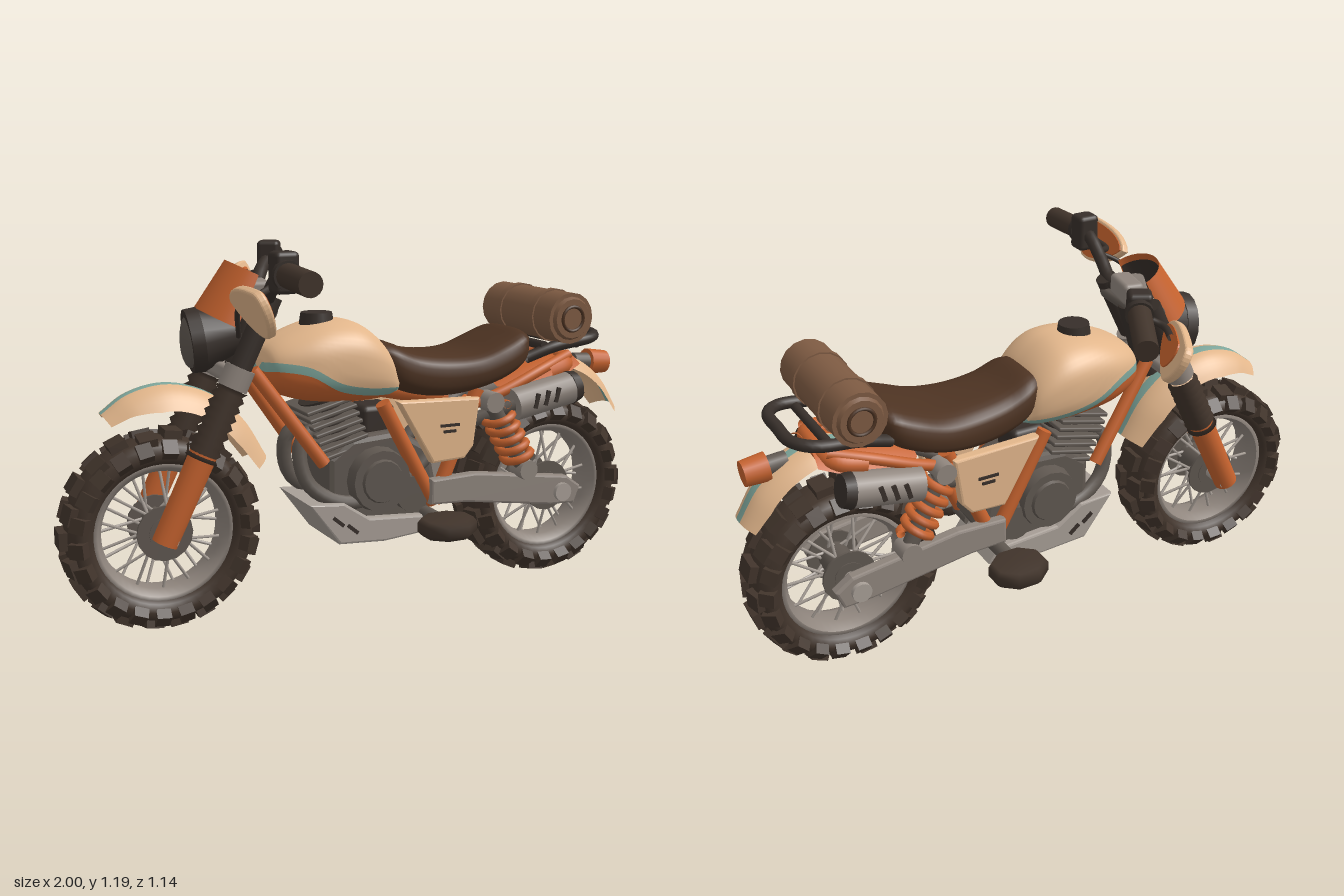
import * as THREE from 'three';
import { mergeGeometries, mergeVertices } from 'three/addons/utils/BufferGeometryUtils.js';
import { RoundedBoxGeometry } from 'three/addons/geometries/RoundedBoxGeometry.js';

const paint = (name, color, side = THREE.FrontSide) => Object.assign(new THREE.MeshStandardMaterial({ color, side }), { name });
const cream = paint('cream', 0xe2b68b, THREE.DoubleSide), orange = paint('orange', 0xc5622e, THREE.DoubleSide);
const teal = paint('teal', 0x7fa79c, THREE.DoubleSide), rubber = paint('rubber', 0x41342b), black = paint('black', 0x372f2a, THREE.DoubleSide);
const brown = paint('seat brown', 0x4d3322), canvas = paint('canvas', 0x7d5a42);
const steel = paint('steel', 0x8f857d), iron = paint('iron', 0x5f5750), bright = paint('bright steel', 0xa79e96);

const V = (p) => new THREE.Vector3(...p), V2 = (p) => new THREE.Vector2(...p), SIDES = [1, -1];
const curve = (pts) => new THREE.CatmullRomCurve3(pts.map(V));
const list = (n, f) => Array.from({ length: n }, (_, i) => f(i));
function place(obj, parent, name, pos = [0, 0, 0], rot = [0, 0, 0, 'XYZ']) {
  obj.name = name;
  obj.position.set(...pos);
  obj.rotation.set(...rot);
  parent.add(obj);
  return obj;
}
const group = (parent, name, pos, rot) => place(new THREE.Group(), parent, name, pos, rot);
const add = (parent, name, geo, mat, pos, rot) => place(new THREE.Mesh(geo, mat), parent, name, pos, rot);
// Moves a geometry that starts at y = 0 so that it runs from a towards b
const aim = (geo, a, b) => geo.applyQuaternion(new THREE.Quaternion().setFromUnitVectors(V([0, 1, 0]), V(b).sub(V(a)).normalize())).translate(...a);
function rodGeo(a, b, r, r2 = r, n = 16) {
  const L = V(a).distanceTo(V(b));
  return aim(new THREE.CylinderGeometry(r2, r, L, n).translate(0, L / 2, 0), a, b);
}
const rod = (parent, name, a, b, r, mat, r2) => add(parent, name, rodGeo(a, b, r, r2), mat);
// Cylinder across z
const drum = (parent, name, x, y, z0, z1, r, mat, r2) => rod(parent, name, [x, y, z0], [x, y, z1], r, mat, r2);
const pipe = (parent, name, pts, r, mat) => add(parent, name, new THREE.TubeGeometry(curve(pts), 40, r, 10), mat);
const block = (parent, name, size, r, mat, pos, rot) => add(parent, name, new RoundedBoxGeometry(...size, 2, r), mat, pos, rot);
const box = (parent, name, size, mat, pos, rot) => add(parent, name, new THREE.BoxGeometry(...size), mat, pos, rot);
const lathe = (pts, n) => new THREE.LatheGeometry(pts.map(V2), n);
// Side outline extruded across z
function plate(parent, name, pts, width, z, mat, b = 0.008) {
  const g = new THREE.ExtrudeGeometry(new THREE.Shape(pts.map(V2)), { depth: width - 2 * b, bevelSize: b, bevelThickness: b, bevelSegments: 2 });
  add(parent, name, g.translate(0, 0, z - width / 2 + b), mat);
}
function grid(rows, flip) {
  const idx = [], n = rows[0].length, g = new THREE.BufferGeometry();
  for (let i = 0; i < rows.length - 1; i++) for (let j = 0; j < n - 1; j++) {
    const a = i * n + j, b = a + 1, c = a + n, d = c + 1;
    idx.push(...(flip ? [a, b, c, b, d, c] : [a, c, b, b, c, d]));
  }
  g.setAttribute('position', new THREE.Float32BufferAttribute(rows.flat(2), 3)).setIndex(idx);
  g.computeVertexNormals();
  return g;
}
// Rounded body along x, between two heights. Keys: [x, bottom, top, half width, stripe height]
function body(parent, name, keys, mat, from = () => -9, to = () => 9, p = 2.6) {
  const yz = curve(keys.map((k) => k.slice(0, 3))), ws = curve(keys.map((k) => [k[0], k[3], k[4] ?? 0]));
  const secs = list(33, (i) => {
    const a = yz.getPoint(i / 32), b = ws.getPoint(i / 32);
    return { x: a.x, mid: (a.y + a.z) / 2, h: (a.z - a.y) / 2, w: b.y, s: b.z, k: 1 };
  });
  const all = [{ ...secs[0], k: 0 }, ...secs, { ...secs.at(-1), k: 0 }], pow = (v, e) => Math.sign(v) * Math.abs(v) ** e;
  const angle = (c, y) => Math.asin(pow(THREE.MathUtils.clamp((y - c.mid) / c.h, -1, 1), p / 2));
  const halves = SIDES.map((side) => grid(all.map((c) => list(15, (j) => {
    const a = THREE.MathUtils.lerp(angle(c, from(c)), angle(c, to(c)), j / 14);
    return [c.x, c.mid + c.k * c.h * pow(Math.sin(a), 2 / p), side * c.k * c.w * Math.max(0, Math.cos(a)) ** (2 / p)];
  })), side < 0).deleteAttribute('normal'));
  const g = mergeVertices(mergeGeometries(halves), 1e-4);
  g.computeVertexNormals();
  add(parent, name, g, mat);
}
// Arched mudguard strip following a side path, between u0 and u1 of its width
function guard(parent, name, pts, w, drop, u0, u1, mat) {
  const c = curve(pts.map((p) => [...p, 0]));
  add(parent, name, grid(list(25, (i) => {
    const p = c.getPoint(i / 24), t = c.getTangent(i / 24), k = 0.5 + 0.5 * Math.min(1, i / 8, (28 - i) / 8);
    return list(9, (j) => {
      const u = u0 + (u1 - u0) * j / 8, d = drop * k * Math.abs(u) ** 2.5;
      return [p.x + t.y * d, p.y - t.x * d, u * w * (0.5 + k / 2)];
    });
  }), true), mat);
}
const stripedGuard = (parent, name, pts, w, drop) => [[-1, -0.2, cream], [-0.2, 0.2, teal], [0.2, 1, cream]].forEach(([a, b, m]) => guard(parent, name, pts, w, drop, a, b, m));

function wheel(parent, name, x, y) {
  const g = group(parent, name, [x, y, 0]), knobs = [];
  const side = [[.215, -.06], [.225, -.08], [.25, -.09], [.275, -.08], [.29, -.05]];
  add(g, 'tyre', lathe([...side, [.295, 0], ...side.map(([r, z]) => [r, -z]).reverse()], 48).rotateX(Math.PI / 2), rubber);
  add(g, 'rim', lathe([[.205, -.065], [.222, -.065], [.222, .065], [.205, .065], [.188, .03], [.188, -.03], [.205, -.065]], 48).rotateX(Math.PI / 2), steel);
  // Tread blocks in alternating rows
  const knob = (a, r, z, tilt, t, w) => knobs.push(new THREE.BoxGeometry(.034, t, w).rotateY(-tilt).translate(r, 0, z).rotateZ(a));
  for (let i = 0; i < 22; i++) {
    const a = i / 11 * Math.PI;
    if (i % 2) knob(a, .299, 0, 0, .056, .085);
    for (const s of SIDES) {
      if (i % 2 === 0) knob(a, .291, s * .048, s * .25, .056, .06);
      knob(a + .07, .266, s * .083, s * .85, .046, .05);
    }
  }
  add(g, 'treadBlocks', mergeGeometries(knobs), rubber);
  const spokes = list(28, (i) => {
    const a = i / 14 * Math.PI, b = a + (i % 4 < 2 ? .45 : -.45), z = i % 2 ? .05 : -.05;
    return rodGeo([.045 * Math.cos(a), .045 * Math.sin(a), z], [.195 * Math.cos(b), .195 * Math.sin(b), z * .4], .005, .005, 6);
  });
  add(g, 'spokes', mergeGeometries(spokes), bright);
  drum(g, 'hub', 0, 0, -.075, .075, .05, iron);
  drum(g, 'axle', 0, 0, -.165, .165, .02, bright);
  for (const s of SIDES) drum(g, 'brakeDisc', 0, 0, s * .064, s * .072, .088, iron);
}
function frontEnd(bike) {
  const g = group(group(bike, 'steering', [-.42, 0, -.01], [0, -.05, 0]), 'frontEnd', [.42, 0, -.005]);
  wheel(g, 'frontWheel', -.69, .32);
  const F = (y, z) => [-.70 + (y - .33) * .48, y, z], tilt = [0, 0, -.447];
  const ribs = list(18, (i) => i ? [i % 2 ? .052 : .04, (i - 1) * .0145] : [0, 0]);
  for (const z of [.14, -.14]) {
    rod(g, 'lowerFork', F(.31, z), F(.58, z), .04, orange, .043);
    add(g, 'forkGaiter', aim(lathe(ribs, 20), F(.56, z), F(.78, z)), rubber);
    rod(g, 'upperFork', F(.76, z), F(1.04, z), .034, black);
    rod(g, 'clampRing', F(.77, z), F(.83, z), .047, steel);
  }
  block(g, 'lowerClamp', [.09, .05, .28], .015, steel, F(.8, 0), tilt);
  block(g, 'upperClamp', [.08, .04, .3], .015, iron, F(1.0, 0), tilt);
  rod(g, 'steeringStem', [-.45, .74, 0], [-.37, 1, 0], .04, black);
  stripedGuard(g, 'frontMudguard', [[-.86, .695], [-.78, .75], [-.66, .775], [-.53, .74], [-.42, .65], [-.345, .525]], .1, .07);
  // Headlight below a curved cowl
  const lamp = group(bike, 'headlight', [-.485, .91, -.02], [0, -.15, 0]);
  rod(lamp, 'lampShell', [.06, .01, 0], [-.06, -.01, 0], .06, black, .1);
  rod(lamp, 'lampRing', [-.055, -.01, 0], [-.095, -.015, 0], .102, black, .1);
  add(lamp, 'lens', new THREE.SphereGeometry(.085, 24, 12).scale(.35, 1, 1), iron, [-.088, -.012, 0]);
  for (const [name, d, h, m] of [['cowl', 0, .17, orange], ['cowlLining', .007, .13, black]])
    add(lamp, name, new THREE.CylinderGeometry(.105 - d, .135 - d, h, 24, 1, true, Math.PI, Math.PI).scale(.85, 1, 1), m, [.07, .115, 0], [0, 0, -.45]);
  rod(lamp, 'gauge', [.09, .1, 0], [.11, .16, 0], .045, steel);
}
function handlebar(bike) {
  const pts = [[-.1, 1.09, -.51], [-.18, 1.12, -.34], [-.25, 1.09, -.25], [-.31, 1.035, -.15], [-.36, 1.03, -.04],
    [-.38, 1.03, .12], [-.4, 1.07, .21], [-.41, 1.12, .3], [-.415, 1.125, .37], [-.42, 1.115, .54]];
  pipe(bike, 'handlebar', pts, .022, black);
  for (const [a, b] of [[pts[1], [-.085, 1.09, -.52]], [pts[8], [-.42, 1.115, .55]]]) {
    rod(bike, 'grip', a, b, .036, rubber);
    rod(bike, 'gripCollar', V(a).lerp(V(b), -.05).toArray(), V(a).lerp(V(b), .06).toArray(), .043, black);
  }
  block(bike, 'rightControl', [.075, .1, .07], .015, black, [-.2, 1.125, -.31], [0, -.5, 0]);
  block(bike, 'leftControl', [.075, .12, .07], .015, black, [-.41, 1.13, .335]);
  pipe(bike, 'rightLever', [[-.23, 1.08, -.28], [-.27, 1.06, -.34], [-.24, 1.06, -.42]], .011, black);
  pipe(bike, 'leftLever', [[-.42, 1.08, .26], [-.49, 1.06, .32], [-.5, 1.06, .4]], .011, black);
  block(bike, 'barClamp', [.07, .07, .13], .015, steel, [-.365, 1.045, 0], [0, -.2, 0]);
  pipe(bike, 'brakeCable', [[-.41, 1.08, .28], [-.49, 1.03, .2], [-.46, .92, .09]], .008, black);
  // Hand guards: pale shell outside, orange face towards the rider
  const outline = new THREE.Shape().moveTo(-.14, .02).bezierCurveTo(-.1, .075, .06, .07, .125, .065);
  outline.bezierCurveTo(.16, .055, .15, -.02, .08, -.06).bezierCurveTo(.02, -.08, -.1, -.03, -.14, .02);
  for (const [pos, yaw, f, k] of [[[-.535, 1.035, .415], -Math.PI / 2 - .05, 1, .95], [[-.245, 1.02, -.43], 1.06, -1, .78]]) {
    const g = group(bike, 'handGuard', pos, [f * .42, yaw, 0, 'YXZ']);
    add(g, 'guardShell', new THREE.ExtrudeGeometry(outline, { depth: .012, bevelSize: .008, bevelThickness: .008 }).translate(0, 0, -.006), cream);
    add(g, 'guardLining', new THREE.ExtrudeGeometry(outline, { depth: .006, bevelEnabled: false }).scale(k, k, 1), orange, [(k - 1) * .13, 0, f > 0 ? -.019 : .013]);
  }
}
function bodywork(bike) {
  const tank = [[-.365, .77, .83, .06, .8], [-.34, .735, .875, .11, .805], [-.25, .7, .92, .155, .79], [-.15, .685, .945, .17, .735],
    [-.05, .68, .935, .17, .712], [.03, .685, .87, .15, .705], [.07, .70, .78, .12, .70]];
  body(bike, 'tankLower', tank, orange, undefined, (c) => c.s);
  body(bike, 'tankStripe', tank, teal, (c) => c.s, (c) => c.s + .027);
  body(bike, 'tankUpper', tank, cream, (c) => c.s + .027);
  rod(bike, 'fuelCap', [-.165, .93, 0], [-.165, .968, 0], .056, black, .05);
  body(bike, 'seat', [[.01, .81, .865, .1], [.06, .73, .865, .135], [.14, .69, .835, .145], [.25, .675, .82, .155], [.36, .69, .825, .17],
    [.46, .72, .86, .172], [.53, .76, .885, .155], [.565, .82, .87, .11]], brown, undefined, undefined, 3);
  stripedGuard(bike, 'rearMudguard', [[.6, .76], [.72, .785], [.83, .75], [.92, .68], [.985, .58]], .085, .045);
  guard(bike, 'tailPanel', [[.44, .72], [.6, .765], [.76, .79]], .14, .05, -1, 1, orange);
  pipe(bike, 'tailHoop', [[.62, .735, .135], [.71, .755, .11], [.735, .775, 0], [.71, .755, -.11], [.62, .735, -.135]], .028, orange);
  rod(bike, 'tailLampBase', [.82, .74, 0], [.89, .735, 0], .03, iron);
  rod(bike, 'tailLamp', [.88, .735, 0], [.955, .73, 0], .046, orange, .04);
  // Rack and bedroll
  const half = [[.54, .79, .13], [.64, .825, .15], [.78, .845, .15], [.83, .85, .1]];
  pipe(bike, 'rack', [...half, [.835, .85, 0], ...half.map(([x, y, z]) => [x, y, -z]).reverse()], .019, black);
  for (const x of [.6, .73]) drum(bike, 'rackBar', x, .83, -.15, .15, .015, black);
  drum(bike, 'bedroll', .66, .925, -.21, .21, .085, canvas);
  for (const s of SIDES) {
    drum(bike, 'bedrollEnd', .66, .925, s * .205, s * .222, .075, canvas, .065);
    add(bike, 'rollSpiral', new THREE.TorusGeometry(.04, .006, 6, 24), brown, [.66, .925, s * .222]);
    drum(bike, 'strap', .66, .925, s * .1 - .014, s * .1 + .014, .09, canvas);
    plate(bike, 'sidePanel', [[.06, .68], [.34, .67], [.32, .52], [.29, .485], [.18, .48]], .04, s * .14, cream);
    for (const [y, w] of [[.595, .07], [.575, .045]]) box(bike, 'panelSlot', [w, .009, .006], black, [.235, y, s * .162]);
  }
}
function chassis(bike) {
  wheel(bike, 'rearWheel', .68, .32);
  for (const s of SIDES) {
    const z = s * .12, a = [.52, .42, s * .165], b = [.39, .66, s * .155], L = V(a).distanceTo(V(b));
    rod(bike, 'downTube', [-.41, .81, s * .07], [-.19, .5, s * .11], .022, orange);
    rod(bike, 'frameTube', [.01, .68, z], [.2, .33, z], .024, orange);
    rod(bike, 'seatStay', [.36, .7, z], [.2, .33, z], .024, orange);
    pipe(bike, 'subframe', [[.3, .635, z], [.45, .69, s * .145], [.6, .75, s * .14], [.73, .785, s * .1]], .018, orange);
    plate(bike, 'swingarm', [[.18, .41], [.34, .415], [.7, .365], [.75, .33], [.73, .28], [.64, .285], [.3, .335], [.18, .34]], .04, s * .14, steel);
    drum(bike, 'axleNut', .68, .32, s * .15, s * .175, .032, bright);
    // Shock with coil spring
    const coil = list(81, (i) => [.046 * Math.cos(i * .4), .045 + (L - .08) * i / 80, .046 * Math.sin(i * .4)]);
    add(bike, 'spring', aim(new THREE.TubeGeometry(curve(coil), 160, .014, 7), a, b), orange);
    rod(bike, 'damper', a, b, .026, iron);
    for (const p of [a, b]) drum(bike, 'shockMount', p[0], p[1], p[2] - .035, p[2] + .035, .034, steel);
    // Silencer and exhaust pipe
    rod(bike, 'silencer', [.47, .643, s * .165], [.7, .685, s * .165], .055, steel);
    rod(bike, 'silencerCap', [.69, .683, s * .165], [.72, .689, s * .165], .058, black, .05);
    for (let i = 0; i < 3; i++) box(bike, 'silencerSlot', [.014, .05, .008], black, [.53 + i * .04, .66 + i * .007, s * .219], [0, 0, -.25]);
    pipe(bike, 'exhaust', [[-.18, .62, s * .05], [-.25, .56, s * .06], [-.23, .43, s * .08], [-.1, .36, s * .1], [.1, .42, s * .1], [.28, .56, s * .1], [.48, .645, s * .165]], .024, iron);
    // Foot platform
    add(bike, 'footPad', lathe([[0, -.03], [.08, -.03], [.097, -.015], [.097, .015], [.085, .03], [0, .03]], 8).rotateY(.393).scale(1.02, 1, .88), rubber, [.18, .285, s * .25]);
    rod(bike, 'footPegArm', [.18, .29, s * .08], [.18, .29, s * .2], .025, iron);
  }
  rod(bike, 'backbone', [-.36, .8, 0], [.3, .66, 0], .035, orange);
}
function engine(bike) {
  plate(bike, 'crankcase', [[-.15, .5], [-.15, .35], [-.08, .28], [.16, .28], [.21, .36], [.18, .5], [.08, .56], [-.08, .55]], .2, 0, iron, .02);
  for (const s of SIDES) {
    drum(bike, 'engineCover', 0, .43, s * .08, s * .145, .11, iron, .1);
    drum(bike, 'coverPlate', 0, .43, s * .14, s * .155, .075, iron, .068);
    drum(bike, 'smallCover', .12, .37, s * .08, s * .13, .06, iron);
    for (let i = 0; i < 2; i++) box(bike, 'skidSlot', [.045, .012, .006], black, [-.15 + i * .05, .31 - i * .03, s * .133], [0, 0, -.7]);
  }
  // Finned cylinder leaning forwards
  for (let i = 0; i < 7; i++) block(bike, 'coolingFin', [.17, .014, .2], .005, iron, [-.1 - i * .01, .53 + i * .025, 0], [0, 0, .25]);
  rod(bike, 'cylinder', [-.08, .5, 0], [-.16, .7, 0], .07, black);
  block(bike, 'carburettor', [.12, .1, .12], .02, black, [.03, .61, 0]);
  plate(bike, 'skidPlate', [[-.24, .37], [-.13, .36], [-.04, .3], [.18, .285], [.21, .245], [.02, .23], [-.14, .24]], .26, 0, bright);
}
export function createModel() {
  const bike = group(new THREE.Group(), 'motorcycle');
  [frontEnd, handlebar, bodywork, chassis, engine].forEach((part) => part(bike));
  return bike.removeFromParent();
}
